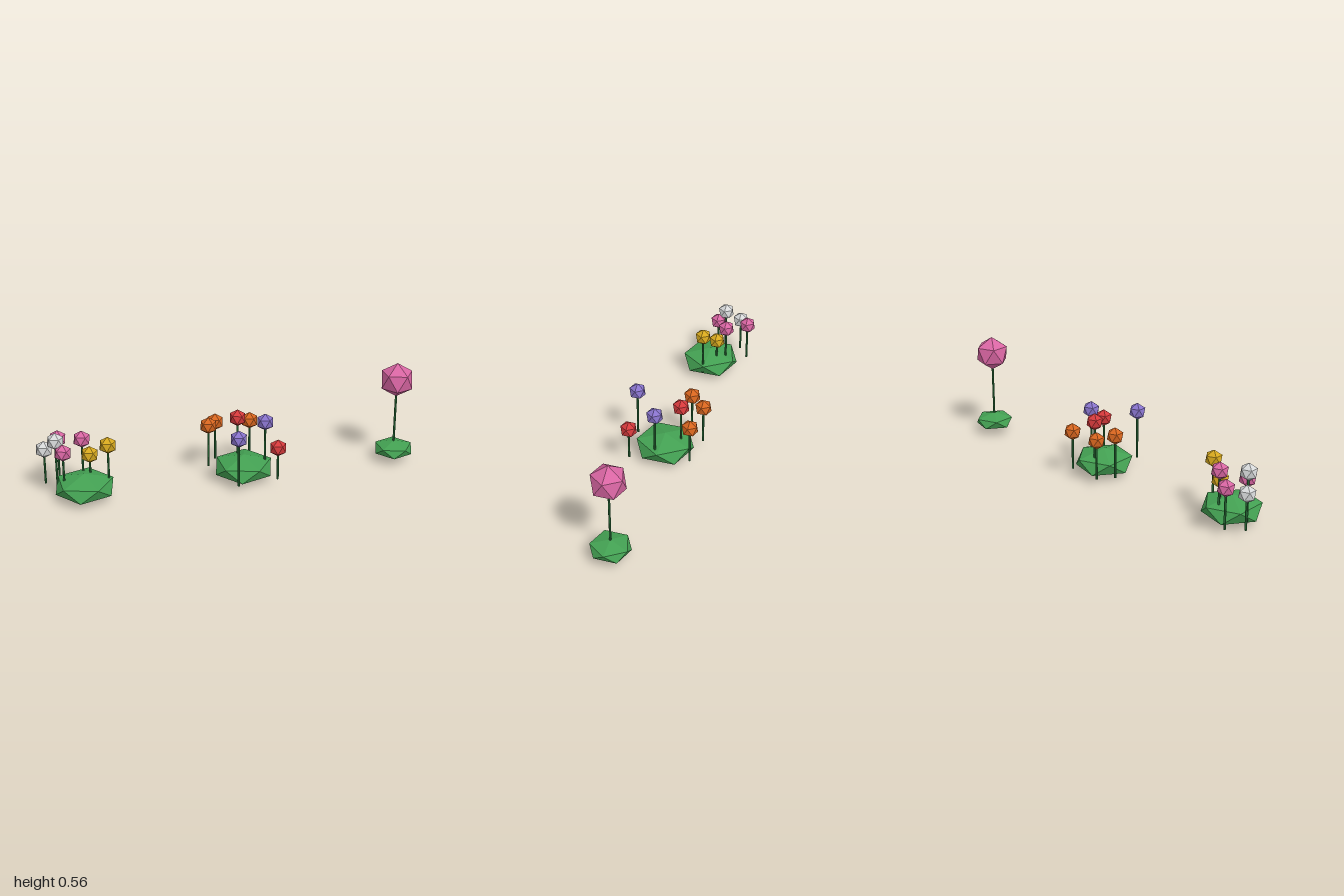
import * as THREE from 'three';

const mat = (name, color) => {
  const m = new THREE.MeshStandardMaterial({ color, flatShading: true });
  m.name = name;
  return m;
};

export function createModel() {
  const root = new THREE.Group();
  root.name = 'flowerPatches';

  const leaf = mat('leafGreen', 0x43a052);
  const stemGreen = mat('stemGreen', 0x2f7d40);
  const petals = {
    pink: mat('pink', 0xd966a3),
    white: mat('white', 0xd6d8d9),
    yellow: mat('yellow', 0xd6a81e),
    orange: mat('orange', 0xd8661f),
    red: mat('red', 0xd63a3c),
    purple: mat('purple', 0x8873cc),
  };

  // Icosahedron standing on one corner, shared by bushes and blooms
  const ico = new THREE.IcosahedronGeometry(1, 0);
  ico.rotateZ(-Math.atan2(0.5257, 0.8507));

  const stemBase = 0.05;
  const patchZ = 0.005;

  function bush(parent, x, r) {
    const m = new THREE.Mesh(ico, leaf);
    m.name = 'bush';
    m.scale.set(r, r * 0.41, r);
    m.position.set(x, 0.07, patchZ);
    parent.add(m);
  }

  function flower(parent, color, x, y, z, r = 0.0465) {
    const g = new THREE.Group();
    g.name = color + 'Flower';
    const h = y - stemBase;
    const stem = new THREE.Mesh(new THREE.CylinderGeometry(0.006, 0.006, h, 6), stemGreen);
    stem.name = 'stem';
    stem.position.set(x, stemBase + h / 2, z);
    const bloom = new THREE.Mesh(ico, petals[color]);
    bloom.name = 'bloom';
    bloom.scale.setScalar(r);
    bloom.position.set(x, y, z);
    g.add(stem, bloom);
    parent.add(g);
  }

  function patch(name, x, r, flowers) {
    const g = new THREE.Group();
    g.name = name;
    bush(g, x, r);
    flowers.forEach((f) => flower(g, ...f));
    root.add(g);
  }

  // Pale mixed patch
  patch('rightPatch', -0.78, 0.167, [
    ['white', -0.96, 0.24, -0.12],
    ['white', -0.91, 0.312, -0.045],
    ['pink', -0.88, 0.265, -0.179],
    ['pink', -0.88, 0.26, -0.01],
    ['pink', -0.77, 0.29, -0.085],
    ['yellow', -0.74, 0.22, -0.041],
    ['yellow', -0.655, 0.286, 0.015],
  ]);

  // Warm mixed patch
  patch('middlePatch', 0.06, 0.167, [
    ['orange', -0.104, 0.282, -0.09],
    ['orange', -0.047, 0.264, -0.168],
    ['orange', 0.137, 0.258, -0.151],
    ['red', 0.05, 0.314, -0.077],
    ['red', 0.2, 0.227, 0.156],
    ['purple', 0.17, 0.32, 0.026],
    ['purple', -0.016, 0.314, 0.181],
  ]);

  // Single tall bloom
  patch('leftPatch', 0.9, 0.112, [['pink', 0.9, 0.467, patchZ, 0.0935]]);

  return root;
}
